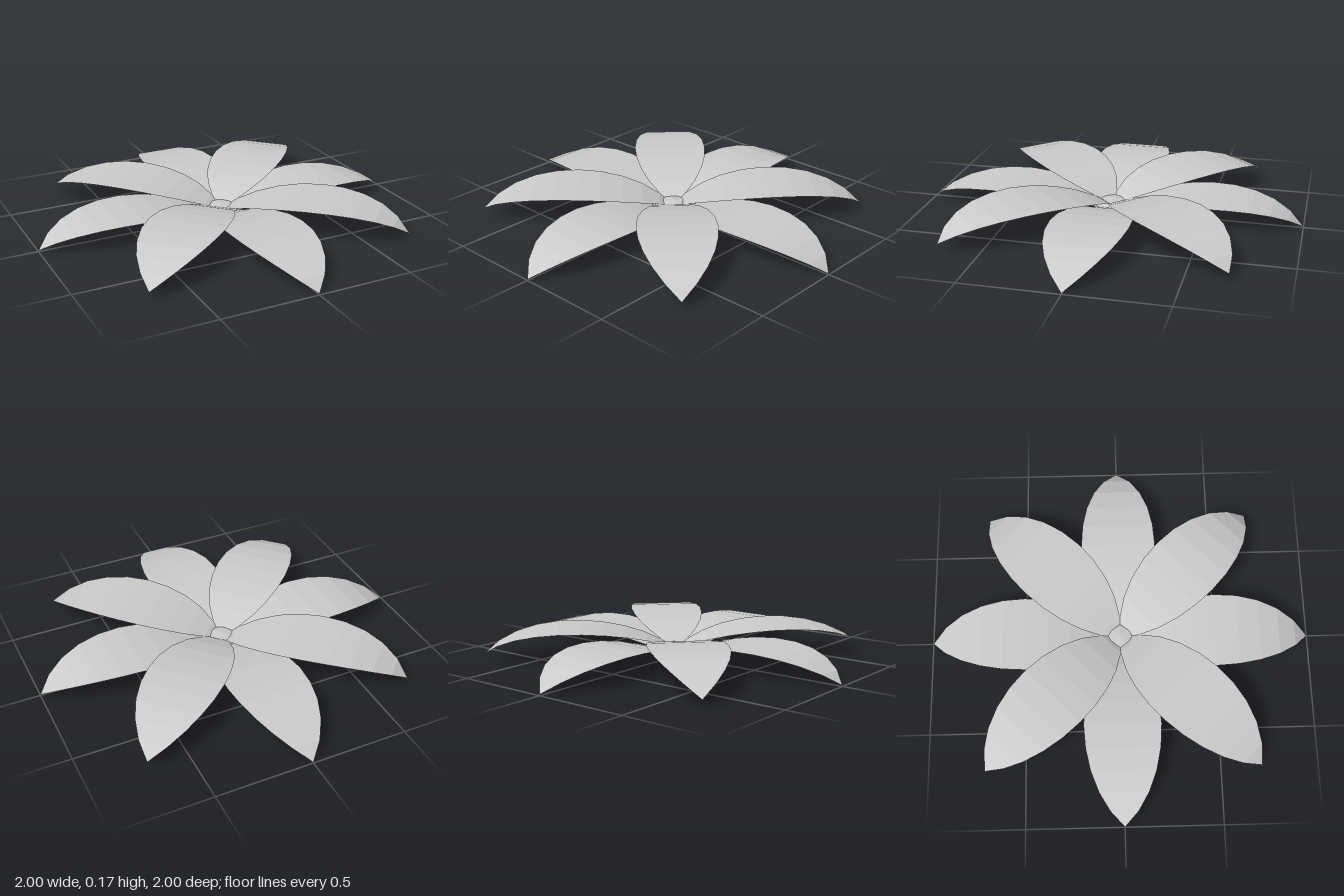
import * as THREE from 'three';

const SEGMENTS = 10;

// Petal pointing along +x: flat across its width, arched along its length
function petalGeometry() {
  const arch = new THREE.CubicBezierCurve3(
    new THREE.Vector3(0, 0, 0),
    new THREE.Vector3(0.2, 0.14, 0.265),
    new THREE.Vector3(0.8, 0.2, 0.265),
    new THREE.Vector3(1, 0, 0)
  );
  const positions = [];
  const index = [];
  for (let i = 0; i <= SEGMENTS; i++) {
    const p = arch.getPoint(i / SEGMENTS);
    positions.push(p.x, p.y, -p.z, p.x, p.y, p.z);
    if (i === SEGMENTS) continue;
    const a = i * 2, b = a + 1, c = a + 2, d = a + 3;
    // Both ends come to a point, so each end needs one triangle only
    if (i > 0) index.push(a, b, c);
    if (i < SEGMENTS - 1) index.push(b, d, c);
    else index.splice(index.length - 3, 3, a, b, c);
  }
  const geometry = new THREE.BufferGeometry();
  geometry.setAttribute('position', new THREE.Float32BufferAttribute(positions, 3));
  geometry.setIndex(index);
  geometry.computeVertexNormals();
  return geometry;
}

export function createModel() {
  const flower = new THREE.Group();
  flower.name = 'flower';
  const petalMaterial = new THREE.MeshStandardMaterial({
    color: 0xcccccc, flatShading: true, side: THREE.DoubleSide
  });
  const centreMaterial = new THREE.MeshStandardMaterial({ color: 0xcccccc, flatShading: true });

  // Two rings of four petals, the diagonal ring slightly higher
  const geometry = petalGeometry();
  const rings = [
    { name: 'lowerPetal', y: 0.005, turn: 0 },
    { name: 'upperPetal', y: 0.04, turn: Math.PI / 4 }
  ];
  for (const ring of rings) {
    for (let i = 0; i < 4; i++) {
      const petal = new THREE.Mesh(geometry, petalMaterial);
      petal.name = ring.name;
      petal.position.y = ring.y;
      petal.rotation.y = ring.turn + (i * Math.PI) / 2;
      flower.add(petal);
    }
  }

  // Flattened faceted centre
  const centre = new THREE.Mesh(new THREE.IcosahedronGeometry(0.1, 1), centreMaterial);
  centre.name = 'flowerCentre';
  centre.scale.y = 0.38;
  centre.position.y = 0.038;
  flower.add(centre);

  return flower;
}
